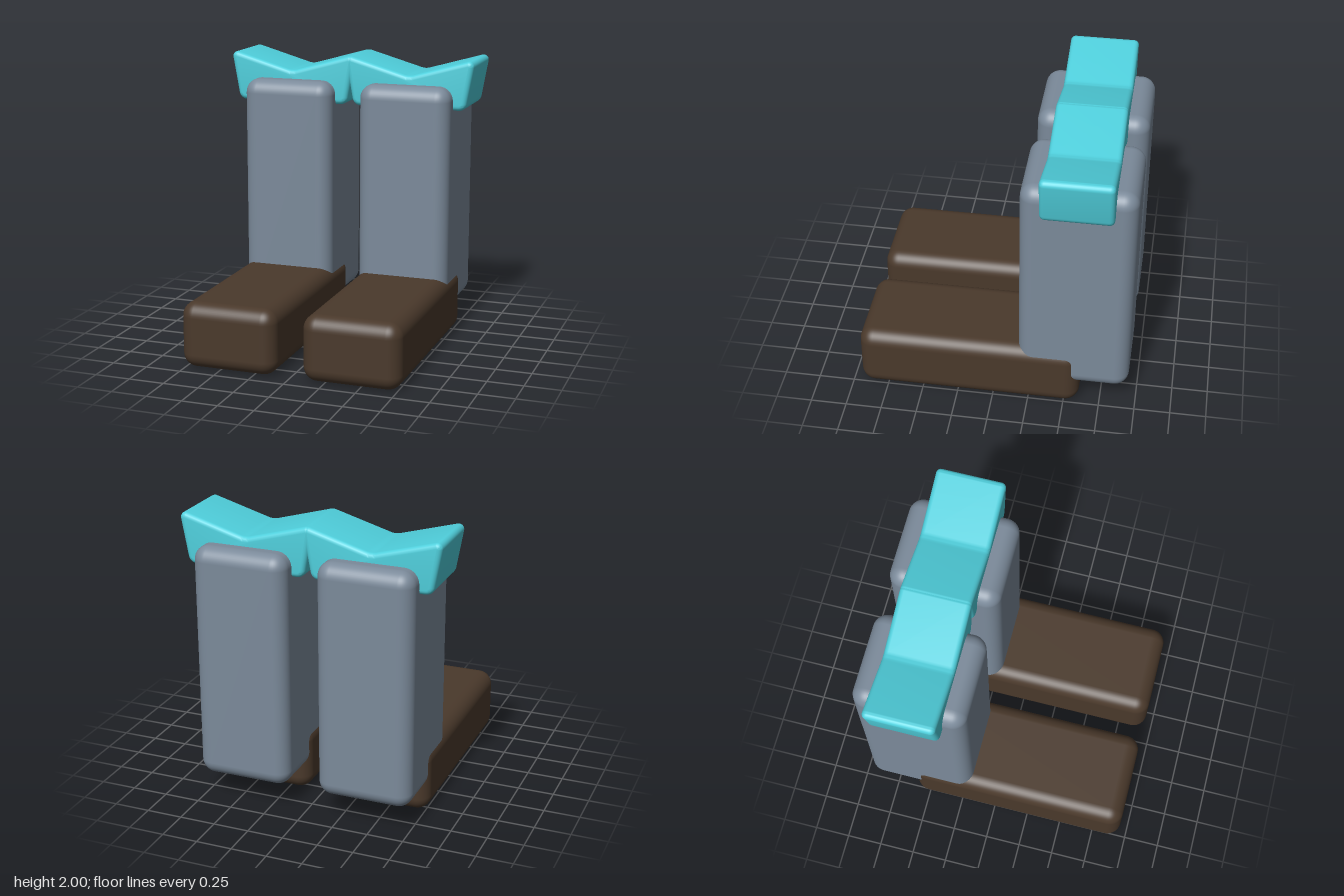
import * as THREE from 'three';
import { RoundedBoxGeometry } from 'three/addons/geometries/RoundedBoxGeometry.js';
import { toCreasedNormals } from 'three/addons/utils/BufferGeometryUtils.js';

const paint = (color) => new THREE.MeshStandardMaterial({ color });

// Box with soft edges between two corners
function softBox(name, min, max, radius, material) {
  const size = max.map((v, i) => v - min[i]);
  const mesh = new THREE.Mesh(new RoundedBoxGeometry(...size, 6, radius), material);
  mesh.position.set(...max.map((v, i) => (v + min[i]) / 2));
  mesh.name = name;
  return mesh;
}

// Polygon outline whose corners [x, y, radius] are replaced by arcs
function roundedShape(corners, steps = 8) {
  const points = [];
  corners.forEach(([x, y, r], i) => {
    const n = corners.length;
    const p = new THREE.Vector2(x, y);
    const a = new THREE.Vector2(...corners[(i + n - 1) % n].slice(0, 2)).sub(p).normalize();
    const b = new THREE.Vector2(...corners[(i + 1) % n].slice(0, 2)).sub(p).normalize();
    const half = Math.acos(a.dot(b)) / 2;
    const centre = a.clone().add(b).normalize().multiplyScalar(r / Math.sin(half)).add(p);
    const reach = r / Math.tan(half);
    const from = a.multiplyScalar(reach).add(p).sub(centre).angle();
    const to = b.multiplyScalar(reach).add(p).sub(centre).angle();
    const sweep = Math.atan2(Math.sin(to - from), Math.cos(to - from));
    for (let k = 0; k <= steps; k++) {
      const t = from + sweep * k / steps;
      points.push(new THREE.Vector2(centre.x + r * Math.cos(t), centre.y + r * Math.sin(t)));
    }
  });
  return new THREE.Shape(points);
}

// Notched cuff: flared sides, two raised tips and a shallow valley on top
function cuffGeometry() {
  const bevel = 0.033, depth = 0.48;
  const shape = roundedShape([
    [-0.412, 1.65, 0.06], [0.412, 1.65, 0.06],
    [0.477, 2.013, 0.036], [0, 1.877, 0.12], [-0.477, 2.013, 0.036],
  ]);
  const geometry = new THREE.ExtrudeGeometry(shape, {
    depth: depth - 2 * bevel, bevelEnabled: true, bevelSize: bevel,
    bevelThickness: bevel, bevelOffset: -bevel, bevelSegments: 5,
  });
  geometry.translate(0, 0, bevel - depth / 2);
  return toCreasedNormals(geometry, 0.7);
}

export function createModel() {
  const model = new THREE.Group();
  model.name = 'bootedLegs';
  const legPaint = paint(0x7b8a9a), bootPaint = paint(0x4a392b), cuffPaint = paint(0x4fcfdc);
  const cuffShape = cuffGeometry();

  for (const [side, s] of [['left', 1], ['right', -1]]) {
    const half = new THREE.Group();
    half.name = side + 'Half';
    const leg = softBox(side + 'Leg', [-0.33, 0.18, -0.945], [0.33, 1.82, -0.175], 0.1, legPaint);
    const boot = softBox(side + 'Boot', [-0.342, 0, -0.605], [0.342, 0.46, 0.945], 0.1, bootPaint);
    const cuff = new THREE.Mesh(cuffShape, cuffPaint);
    cuff.name = side + 'Cuff';
    cuff.position.set(0.003, 0, -0.56);
    if (s < 0) cuff.position.x *= -1;
    half.add(leg, boot, cuff);
    half.position.x = s * 0.435;
    model.add(half);
  }
  return model;
}
